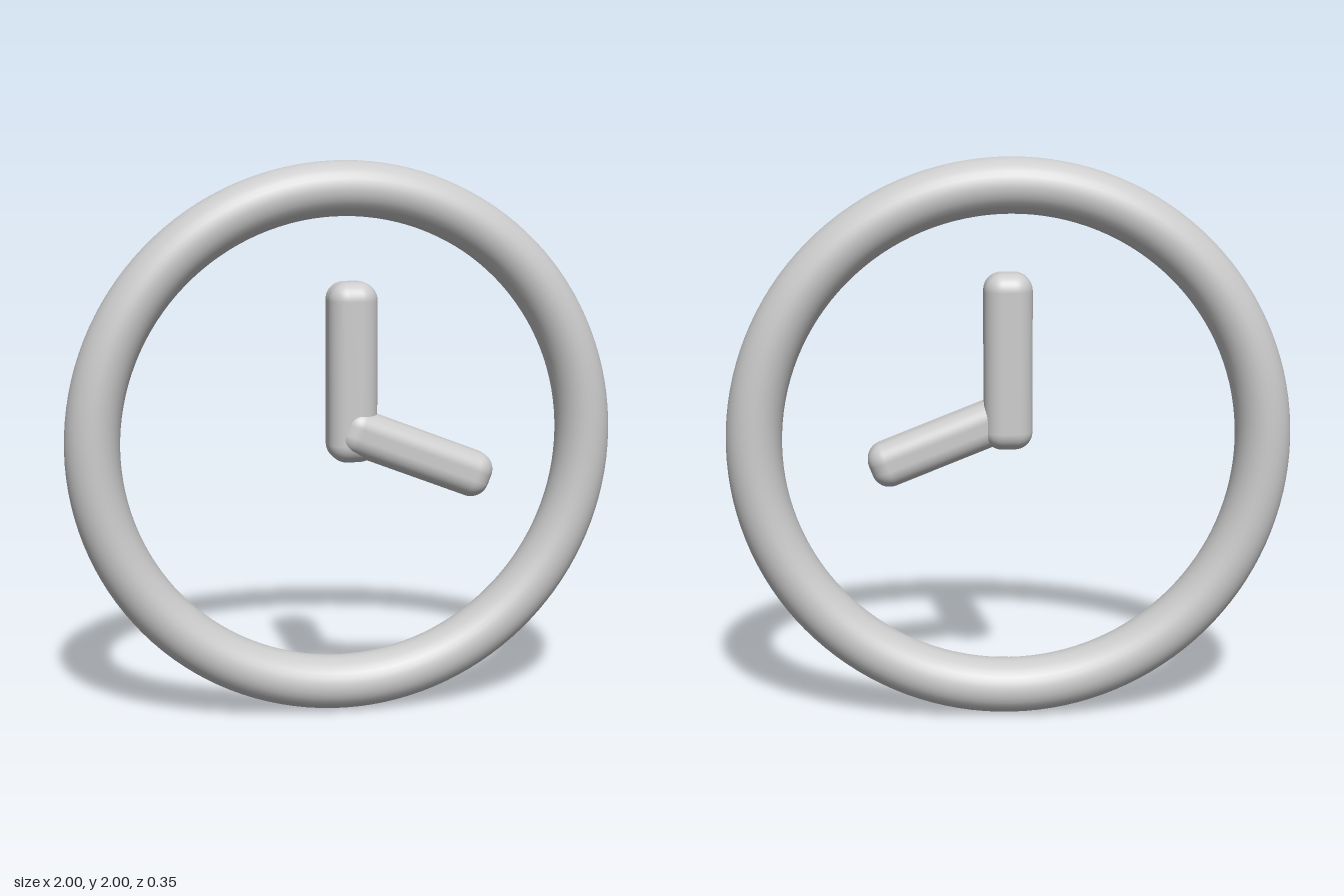
import * as THREE from 'three';
import { RoundedBoxGeometry } from 'three/addons/geometries/RoundedBoxGeometry.js';

export function createModel() {
  const group = new THREE.Group();
  group.name = 'clock';
  const grey = new THREE.MeshStandardMaterial({ color: 0xcccccc });
  grey.name = 'light grey';

  // Round rim, slightly deeper than it is wide
  const rim = new THREE.Mesh(new THREE.TorusGeometry(0.902, 0.098, 32, 128), grey);
  rim.name = 'rim';
  rim.scale.z = 1.09;
  rim.position.set(0, 1, -0.066);
  group.add(rim);

  // Soft-edged bar with a square section, turned about z
  function addHand(name, length, width, x, y, z, angle) {
    const hand = new THREE.Mesh(new RoundedBoxGeometry(length, width, width, 6, 0.065), grey);
    hand.name = name;
    hand.position.set(x, y, z);
    hand.rotation.z = angle;
    group.add(hand);
  }
  addHand('minuteHand', 0.637, 0.174, 0, 1.267, 0.066, Math.PI / 2);
  addHand('hourHand', 0.58, 0.165, 0.225, 0.975, 0.09, -0.375);

  return group;
}
